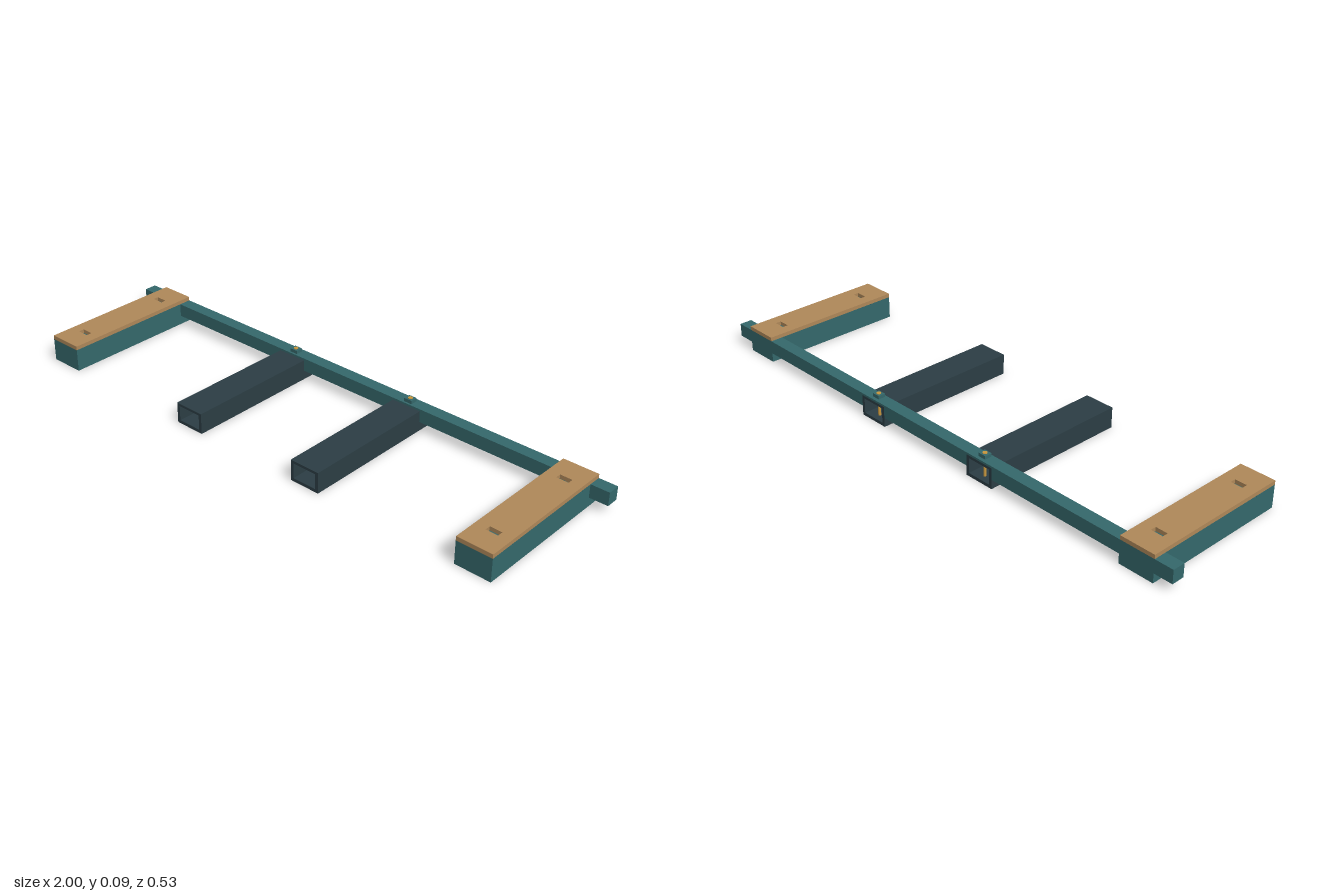
import * as THREE from 'three';

const mat = (name, color) => new THREE.MeshStandardMaterial({ name, color });

// Closed polygon from [x, y] points
const poly = (pts, Kind = THREE.Shape) => new Kind(pts.map(([x, y]) => new THREE.Vector2(x, y)));
const rect = (x0, y0, x1, y1, Kind) => poly([[x0, y0], [x1, y0], [x1, y1], [x0, y1]], Kind);

// Extrusion centred on its depth
function extrude(shape, depth) {
  const g = new THREE.ExtrudeGeometry(shape, { depth, bevelEnabled: false, curveSegments: 8 });
  return g.translate(0, 0, -depth / 2);
}

export function createModel() {
  const teal = mat('teal', 0x35696c);
  const wood = mat('wood', 0xb0895a);
  const slate = mat('slate', 0x2c3e45);
  const brass = mat('brass', 0xc9983f);

  const model = new THREE.Group();
  model.name = 'supportFrame';
  const add = (parent, name, geometry, material, x = 0, y = 0, z = 0) => {
    const mesh = new THREE.Mesh(geometry, material);
    mesh.name = name;
    mesh.position.set(x, y, z);
    parent.add(mesh);
    return mesh;
  };

  const halfZ = 0.265, barZ = -0.2425;
  const barLow = 0.033, barTop = 0.08, tubeTop = 0.073;

  // Cross bar, notched from below where it sits over the tubes
  const barOutline = [[-1, barLow]];
  for (const x of [-0.25, 0.25]) {
    barOutline.push([x - 0.055, barLow], [x - 0.055, tubeTop], [x + 0.055, tubeTop], [x + 0.055, barLow]);
  }
  barOutline.push([1, barLow], [1, barTop], [-1, barTop]);
  add(model, 'crossBar', extrude(poly(barOutline), 0.045), teal, 0, 0, barZ);

  // Foot block with two small cross-drilled holes just under the board
  const blockShape = rect(-halfZ, 0, halfZ, barTop);
  for (const z of [-0.175, 0.175]) {
    const hole = new THREE.Path();
    hole.absarc(z, 0.076, 0.0025, 0, Math.PI * 2, true);
    blockShape.holes.push(hole);
  }
  const blockGeo = extrude(blockShape, 0.124).rotateY(-Math.PI / 2);

  // Board with two slots
  const boardShape = rect(-0.062, -halfZ, 0.062, halfZ);
  for (const z of [-0.175, 0.175]) {
    boardShape.holes.push(rect(-0.021, z - 0.01, 0.021, z + 0.01, THREE.Path));
  }
  const boardGeo = extrude(boardShape, 0.014).rotateX(Math.PI / 2);

  // Hollow rectangular tube
  const tubeShape = rect(-0.055, 0, 0.055, tubeTop);
  tubeShape.holes.push(rect(-0.044, 0.011, 0.044, tubeTop - 0.009, THREE.Path));
  const tubeGeo = extrude(tubeShape, halfZ * 2);

  for (const s of [-1, 1]) {
    const prefix = s > 0 ? 'left' : 'right';

    const foot = new THREE.Group();
    foot.name = prefix + 'Foot';
    foot.position.x = s * 0.873;
    add(foot, 'footBlock', blockGeo, teal);
    add(foot, 'slottedBoard', boardGeo, wood, 0, barTop + 0.007, 0);
    model.add(foot);

    const arm = new THREE.Group();
    arm.name = prefix + 'Arm';
    arm.position.x = s * 0.25;
    add(arm, 'tube', tubeGeo, slate);
    // Clamping bolt through bar and tube
    add(arm, 'boltCollar', new THREE.BoxGeometry(0.03, 0.012, 0.026), teal, 0, 0.086, -0.24);
    add(arm, 'boltRod', new THREE.CylinderGeometry(0.005, 0.005, 0.08, 12), brass, 0, 0.045, -0.24);
    add(arm, 'boltTip', new THREE.CylinderGeometry(0.008, 0.008, 0.004, 12), brass, 0, 0.092, -0.24);
    model.add(arm);
  }
  return model;
}
